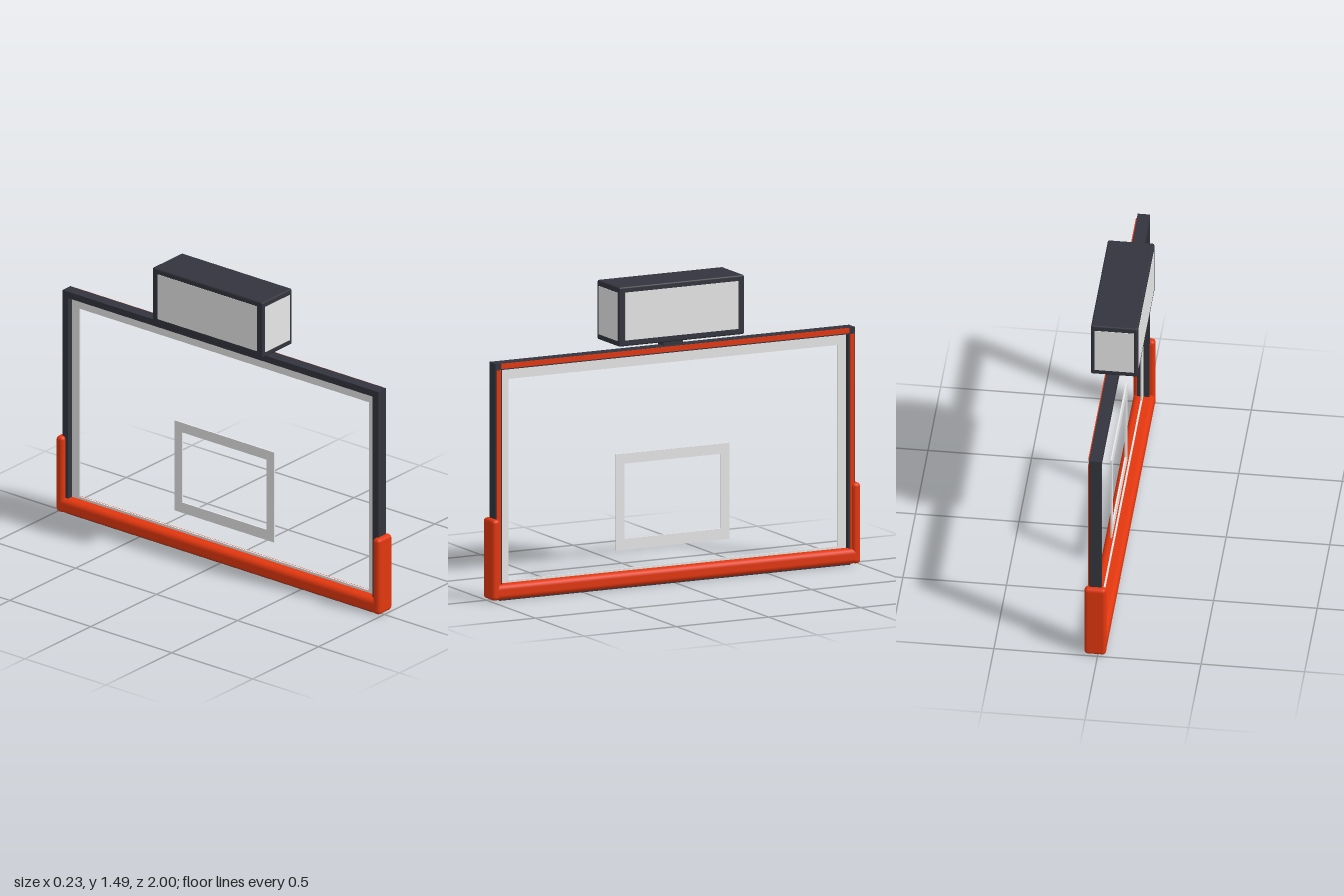
import * as THREE from 'three';
import { RoundedBoxGeometry } from 'three/addons/geometries/RoundedBoxGeometry.js';

function material(name, color) {
  const m = new THREE.MeshStandardMaterial({ color });
  m.name = name;
  return m;
}

export function createModel() {
  const model = new THREE.Group();
  model.name = 'backboard';
  const dark = material('charcoal', 0x34343e);
  const red = material('orangeRed', 0xe2370f);
  const white = material('white', 0xf0f0f0);

  // Box given by its limits on each axis; a radius rounds the edges
  function block(name, mat, [x0, x1], [y0, y1], [z0, z1], radius = 0) {
    const size = [x1 - x0, y1 - y0, z1 - z0];
    const geo = radius ? new RoundedBoxGeometry(...size, 3, radius) : new THREE.BoxGeometry(...size);
    const mesh = new THREE.Mesh(geo, mat);
    mesh.name = name;
    mesh.position.set((x0 + x1) / 2, (y0 + y1) / 2, (z0 + z1) / 2);
    model.add(mesh);
  }

  // Rectangular ring in the z-y plane
  function ring(name, mat, [x0, x1], [zo, zi], [yo0, yo1], [yi0, yi1]) {
    const corners = (z, y0, y1) => [[-z, y0], [z, y0], [z, y1], [-z, y1]].map(p => new THREE.Vector2(...p));
    const shape = new THREE.Shape(corners(zo, yo0, yo1));
    shape.holes.push(new THREE.Path(corners(zi, yi0, yi1)));
    const geo = new THREE.ExtrudeGeometry(shape, { depth: x1 - x0, bevelEnabled: false });
    geo.rotateY(Math.PI / 2);
    const mesh = new THREE.Mesh(geo, mat);
    mesh.name = name;
    mesh.position.x = x0;
    model.add(mesh);
  }

  // Outer frame with painted strips on its playing side
  const frameX = [-0.015, 0.045];
  ring('frame', dark, frameX, [0.975, 0.94], [0.03, 1.16], [0.07, 1.127]);
  block('topStrip', red, [0.044, 0.05], [1.133, 1.158], [-0.944, 0.944]);
  for (const s of [-1, 1]) {
    const span = (a, b) => (s > 0 ? [a, b] : [-b, -a]);
    block('sideStrip', red, [0.044, 0.05], [0.06, 1.127], span(0.947, 0.97));
    block('sidePad', red, [-0.04, 0.065], [0.005, 0.4], span(0.956, 1), 0.018);
  }

  // Padding along the lower edge, with the backing underneath
  block('bottomPad', red, [-0.04, 0.065], [0.005, 0.08], [-1, 1], 0.025);
  block('padBacking', dark, frameX, [0, 0.012], [-0.95, 0.95]);

  // Border and target lines
  const lineX = [0.014, 0.022];
  ring('borderLine', white, lineX, [0.942, 0.893], [0.045, 1.13], [0.092, 1.075]);
  ring('targetLine', white, lineX, [0.308, 0.262], [0.182, 0.652], [0.236, 0.602]);

  // Clock box with a screen on each of its four sides
  block('clockNeck', dark, [-0.032, 0.026], [1.155, 1.205], [-0.053, 0.053]);
  block('clockBox', dark, [-0.113, 0.112], [1.195, 1.485], [-0.34, 0.34], 0.008);
  for (const s of [-1, 1]) {
    const plate = f => [s * f - 0.002, s * f + 0.002];
    block('sideScreen', white, plate(0.1125), [1.224, 1.458], [-0.307, 0.307]);
    block('endScreen', white, [-0.096, 0.095], [1.222, 1.458], plate(0.34));
  }

  return model;
}
